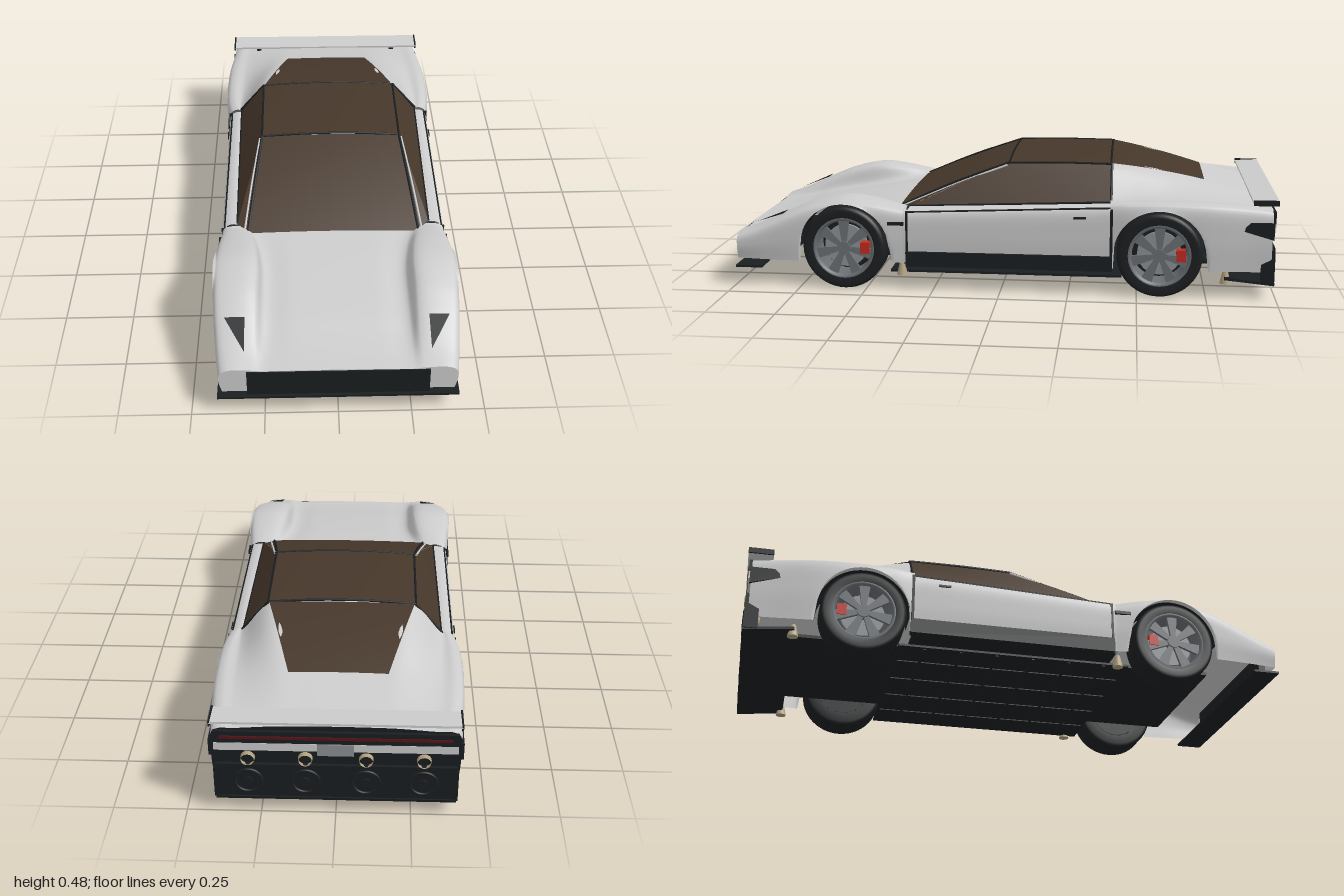
import * as THREE from 'three';

const D = THREE.DoubleSide;
const mat = (color, side = THREE.FrontSide) => new THREE.MeshStandardMaterial({ color, side });
const paint = mat(0xcccccc, D), black = mat(0x1a1e20, D), glass = mat(0x46372a, D);
const rubber = mat(0x1c1e20, D), alloy = mat(0x6a6e72, D), steel = mat(0x8c9094);
const red = mat(0xc02a20), darkRed = mat(0x5a1418), gold = mat(0xb0a080, D);
const V = (x, y, z) => new THREE.Vector3(x, y, z);
const AXLE = 0.58, R = 0.155, ARCH = 0.167;

export function createModel() {
  const car = new THREE.Group();
  const add = (name, geo, m, parent = car) => {
    const mesh = new THREE.Mesh(geo, m);
    mesh.name = name;
    parent.add(mesh);
    return mesh;
  };
  const box = (name, w, h, d, x, y, z, m) => {
    const b = add(name, new THREE.BoxGeometry(w, h, d), m);
    b.position.set(x, y, z);
    return b;
  };
  const bar = (name, pts, r, m) =>
    add(name, new THREE.TubeGeometry(new THREE.CatmullRomCurve3(pts), 12, r, 6), m);

  // Turns a grid of points into a smooth surface
  const gridGeometry = (rows) => {
    const n = rows[0].length, pos = [], idx = [];
    rows.forEach((row, i) => row.forEach((p, j) => {
      pos.push(p.x, p.y, p.z);
      if (i && j) {
        const a = (i - 1) * n + j - 1, b = i * n + j - 1;
        idx.push(a, a + 1, b, b, a + 1, b + 1);
      }
    }));
    const g = new THREE.BufferGeometry();
    g.setAttribute('position', new THREE.Float32BufferAttribute(pos, 3));
    g.setIndex(idx);
    g.computeVertexNormals();
    return g;
  };

  // Four-cornered panel, bulging upwards in the middle
  const panel = (name, a, b, c, d, bulgeU, bulgeV, m) => {
    const rows = [];
    for (let i = 0; i <= 12; i++) {
      const v = i / 12, row = [];
      for (let j = 0; j <= 12; j++) {
        const u = j / 12;
        const p = a.clone().lerp(b, u).lerp(d.clone().lerp(c, u), v);
        p.y += bulgeU * 4 * u * (1 - u) + bulgeV * 4 * v * (1 - v);
        row.push(p);
      }
      rows.push(row);
    }
    return add(name, gridGeometry(rows), m);
  };

  // Body shell: keys are [z, centre y, centre half width, fender inner x, fender y, half width]
  const shell = (name, keys, steps) => {
    const lines = [];
    for (let k = 0; k < 8; k++) {
      lines.push(new THREE.CatmullRomCurve3(keys.map(([z, yc, xi, xf, yf, w]) => {
        const p = [[0, yc + 0.003], [xi * 0.6, yc + 0.002], [xi, yc], [xf, yf], [w - 0.03, yf],
          [w - 0.005, yf - 0.015], [w, (yf + 0.1) / 2], [w - 0.01, 0.1]][k];
        return V(p[0], p[1], z);
      })));
    }
    const rows = [];
    for (let i = 0; i <= steps; i++) {
      const half = lines.map((l) => l.getPoint(i / steps));
      const mirror = half.slice(1).reverse().map((p) => V(-p.x, p.y, p.z));
      const section = new THREE.CatmullRomCurve3([...mirror, ...half]).getPoints(84);
      section.forEach((p) => { // cut the wheel arches
        const dz = Math.abs(p.z) - AXLE;
        if (Math.abs(p.x) > 0.37 && Math.abs(dz) < ARCH)
          p.y = Math.max(p.y, R + Math.sqrt(ARCH * ARCH - dz * dz));
      });
      rows.push(section);
    }
    add(name, gridGeometry(rows), paint);
    return rows;
  };
  const cap = (name, row, m) => {
    const s = new THREE.Shape(row.map((p) => new THREE.Vector2(p.x, p.y)));
    add(name, new THREE.ShapeGeometry(s), m).position.z = row[0].z;
  };

  const nose = shell('frontBody', [
    [0.993, 0.188, 0.25, 0.29, 0.193, 0.402], [0.93, 0.197, 0.25, 0.285, 0.213, 0.41],
    [0.85, 0.213, 0.25, 0.283, 0.247, 0.418], [0.78, 0.23, 0.25, 0.283, 0.278, 0.424],
    [0.7, 0.245, 0.25, 0.283, 0.308, 0.428], [0.58, 0.265, 0.25, 0.283, 0.332, 0.43],
    [0.48, 0.279, 0.26, 0.295, 0.324, 0.424], [0.36, 0.292, 0.285, 0.325, 0.302, 0.412]], 80);
  cap('nosePanel', nose[0], paint);
  shell('doorBody', [[0.36, 0.292, 0.285, 0.325, 0.302, 0.412], [0, 0.31, 0.28, 0.35, 0.317, 0.412],
    [-0.4, 0.325, 0.28, 0.36, 0.333, 0.412]], 16);
  const tail = shell('rearBody', [
    [-0.4, 0.456, 0.265, 0.365, 0.345, 0.412], [-0.47, 0.446, 0.255, 0.36, 0.347, 0.424],
    [-0.57, 0.429, 0.24, 0.355, 0.35, 0.43], [-0.745, 0.386, 0.21, 0.35, 0.347, 0.428],
    [-0.9, 0.352, 0.2, 0.34, 0.336, 0.415], [-0.98, 0.338, 0.2, 0.34, 0.328, 0.41]], 80);
  cap('tailPanel', tail[80], black);

  // Glasshouse
  panel('windshield', V(-0.312, 0.297, 0.385), V(0.312, 0.297, 0.385), V(0.265, 0.458, -0.02),
    V(-0.265, 0.458, -0.02), 0.006, 0.006, glass);
  panel('roof', V(-0.265, 0.458, -0.02), V(0.265, 0.458, -0.02), V(0.265, 0.461, -0.4),
    V(-0.265, 0.461, -0.4), 0.012, 0.003, glass);
  panel('rearWindow', V(-0.262, 0.463, -0.4), V(0.262, 0.463, -0.4), V(0.17, 0.391, -0.745),
    V(-0.17, 0.391, -0.745), 0.003, 0.006, glass);
  for (const [z, y] of [[-0.02, 0.458], [-0.398, 0.461]])
    bar('roofSeam', [V(-0.265, y, z), V(-0.13, y + 0.009, z), V(0, y + 0.012, z), V(0.13, y + 0.009, z),
      V(0.265, y, z)], 0.004, black);

  for (const s of [1, -1]) {
    // Side glass, pillars and door trim
    panel('sideWindow', V(s * 0.355, 0.306, 0.34), V(s * 0.362, 0.337, -0.4), V(s * 0.265, 0.46, -0.4),
      V(s * 0.265, 0.458, -0.02), 0, 0.004, glass);
    panel('quarterGlass', V(s * 0.312, 0.297, 0.385), V(s * 0.355, 0.306, 0.34), V(s * 0.265, 0.458, -0.02),
      V(s * 0.265, 0.458, -0.02), 0, 0.005, glass);
    bar('windshieldPillar', [V(s * 0.314, 0.299, 0.38), V(s * 0.29, 0.386, 0.18), V(s * 0.266, 0.459, -0.02)], 0.005, black);
    bar('pillarTrim', [V(s * 0.326, 0.303, 0.365), V(s * 0.3, 0.386, 0.165), V(s * 0.274, 0.452, -0.015)], 0.004, paint);
    bar('roofRail', [V(s * 0.266, 0.459, -0.02), V(s * 0.266, 0.463, -0.2), V(s * 0.266, 0.461, -0.4)], 0.004, black);
    bar('rearPillar', [V(s * 0.266, 0.46, -0.402), V(s * 0.365, 0.343, -0.402)], 0.005, black);
    bar('windowSill', [V(s * 0.355, 0.306, 0.34), V(s * 0.362, 0.337, -0.4)], 0.004, black);
    bar('beltTrim', [V(s * 0.402, 0.292, 0.35), V(s * 0.402, 0.324, -0.4)], 0.004, black);
    bar('cowlSeam', [V(s * 0.32, 0.3, 0.345), V(s * 0.38, 0.303, 0.345), V(s * 0.408, 0.28, 0.345)], 0.004, black);
    box('frontDoorSeam', 0.012, 0.19, 0.008, s * 0.408, 0.195, 0.345, black);
    box('rearDoorSeam', 0.012, 0.225, 0.01, s * 0.41, 0.21, -0.405, black);
    box('doorHandle', 0.008, 0.008, 0.045, s * 0.414, 0.288, -0.29, black);
    box('sideSkirt', 0.03, 0.055, 0.76, s * 0.403, 0.118, -0.03, black);
    box('mirror', 0.02, 0.012, 0.06, s * 0.414, 0.252, 0.385, black);

    // Headlight recess on the fender
    const lamp = new THREE.BufferGeometry().setFromPoints(
      [V(s * 0.385, 0.272, 0.815), V(s * 0.315, 0.272, 0.815), V(s * 0.315, 0.224, 0.935)]);
    lamp.computeVertexNormals();
    add('headlight', lamp, black);

    // Rear side vent
    const vent = new THREE.Shape([[-0.87, 0.255], [-0.9, 0.285], [-0.985, 0.285], [-0.985, 0.222]]
      .map(([z, y]) => new THREE.Vector2(-z, y)));
    const ventMesh = add('rearVent', new THREE.ExtrudeGeometry(vent, { depth: 0.01, bevelEnabled: false }), black);
    ventMesh.rotation.y = Math.PI / 2;
    ventMesh.position.x = s * 0.413 - 0.005;

    // Support feet
    for (const z of [0.37, -0.82]) {
      const foot = add('supportFoot', new THREE.CylinderGeometry(0.01, 0.02, 0.045, 16), gold);
      foot.position.set(s * 0.375, 0.07, z);
    }

    for (const z of [AXLE, -AXLE]) {
      // Wheel well
      const well = add('wheelWell', new THREE.CylinderGeometry(ARCH, ARCH, 0.12, 32, 1, true, 0, Math.PI)
        .rotateZ(Math.PI / 2), black);
      well.position.set(s * 0.35, R, z);

      // Wheel
      const wheel = new THREE.Group();
      wheel.name = 'wheel';
      wheel.position.set(s * 0.364, R, z);
      if (s < 0) wheel.rotation.y = Math.PI;
      car.add(wheel);
      const lathe = (name, pts, m) => add(name, new THREE.LatheGeometry(
        pts.map((p) => new THREE.Vector2(...p)), 48).rotateZ(-Math.PI / 2), m, wheel);
      lathe('tire', [[0.105, -0.062], [0.14, -0.062], [0.15, -0.057], [0.155, -0.045], [0.155, 0.045],
        [0.15, 0.057], [0.14, 0.062], [0.113, 0.058]], rubber);
      lathe('rim', [[0.1, -0.06], [0.1, 0.045], [0.106, 0.06], [0.115, 0.058]], alloy);
      const disc = (name, r, t, x, m) => add(name, new THREE.CylinderGeometry(r, r, t, 32)
        .rotateZ(Math.PI / 2), m, wheel).position.x = x;
      disc('wheelBack', 0.1, 0.02, -0.045, black);
      disc('brakeDisc', 0.08, 0.012, 0.01, steel);
      disc('hub', 0.024, 0.03, 0.042, alloy);
      const blade = new THREE.Shape([[-0.008, 0.015], [0.008, 0.015], [0.02, 0.102], [-0.02, 0.102]]
        .map((p) => new THREE.Vector2(...p)));
      const spokeGeo = new THREE.ExtrudeGeometry(blade, { depth: 0.012, bevelEnabled: false }).rotateY(Math.PI / 2);
      for (let i = 0; i < 7; i++) {
        const spoke = add('spoke', spokeGeo, alloy, wheel);
        spoke.position.x = 0.038;
        spoke.rotation.x = (i / 7) * Math.PI * 2;
      }
      const caliper = add('brakeCaliper', new THREE.BoxGeometry(0.035, 0.042, 0.034), red, wheel);
      caliper.position.set(0.036, 0, -s * 0.078);
    }
  }

  // Nose: grille and splitter
  box('grille', 0.615, 0.1, 0.03, 0, 0.137, 0.982, black);
  box('splitter', 0.82, 0.008, 0.1, 0, 0.072, 0.948, black);

  // Underbody: thin ribbed tray, floor above it and wheel bays
  box('underTray', 0.74, 0.008, 0.86, 0, 0.06, -0.015, black);
  box('floor', 0.79, 0.012, 0.76, 0, 0.1, -0.02, black);
  for (const z of [0.56, -0.63]) box('bayFloor', 0.56, 0.012, 0.4, 0, 0.1, z, black);
  for (let i = 0; i < 6; i++) box('trayCrossRib', 0.72, 0.005, 0.01, 0, 0.055, 0.32 - i * 0.134, black);
  for (const x of [-0.24, -0.08, 0.08, 0.24]) box('trayLongRib', 0.01, 0.005, 0.84, x, 0.055, -0.015, black);
  for (const z of [AXLE, -AXLE]) {
    const axle = add('axle', new THREE.CylinderGeometry(0.02, 0.02, 0.64, 12).rotateZ(Math.PI / 2), black);
    axle.position.set(0, R, z);
  }

  // Tail: wing, light band, bumper, diffuser and exhausts
  box('rearWing', 0.82, 0.008, 0.09, 0, 0.358, -0.953, paint).rotation.x = 0.06;
  for (const s of [1, -1]) {
    box('wingEnd', 0.006, 0.02, 0.09, s * 0.409, 0.356, -0.953, black);
    box('wingStay', 0.02, 0.03, 0.05, s * 0.3, 0.342, -0.94, black);
  }
  box('tailLightBand', 0.8, 0.045, 0.012, 0, 0.3, -0.985, black);
  box('tailLight', 0.76, 0.01, 0.012, 0, 0.3, -0.988, darkRed);
  box('rearBumper', 0.8, 0.03, 0.014, 0, 0.262, -0.984, paint);
  box('rearPlate', 0.12, 0.045, 0.012, 0, 0.255, -0.989, steel);
  box('diffuserPanel', 0.8, 0.13, 0.014, 0, 0.125, -0.985, black);
  box('diffuserFloor', 0.8, 0.01, 0.18, 0, 0.062, -0.905, black).rotation.x = -0.1;
  for (const x of [-0.4, -0.19, 0, 0.19, 0.4]) box('diffuserFin', 0.01, 0.12, 0.05, x, 0.115, -0.968, black);
  for (const x of [-0.29, -0.1, 0.1, 0.29]) {
    const pipe = add('exhaust', new THREE.CylinderGeometry(0.022, 0.03, 0.06, 24, 1, true).rotateX(-Math.PI / 2), gold);
    pipe.position.set(x, 0.212, -0.967);
    const ring = add('fanRing', new THREE.TorusGeometry(0.045, 0.005, 8, 32), rubber);
    ring.position.set(x, 0.125, -0.992);
    const hub = add('fanHub', new THREE.CylinderGeometry(0.015, 0.015, 0.01, 16).rotateX(Math.PI / 2), rubber);
    hub.position.set(x, 0.125, -0.993);
  }
  return car;
}
